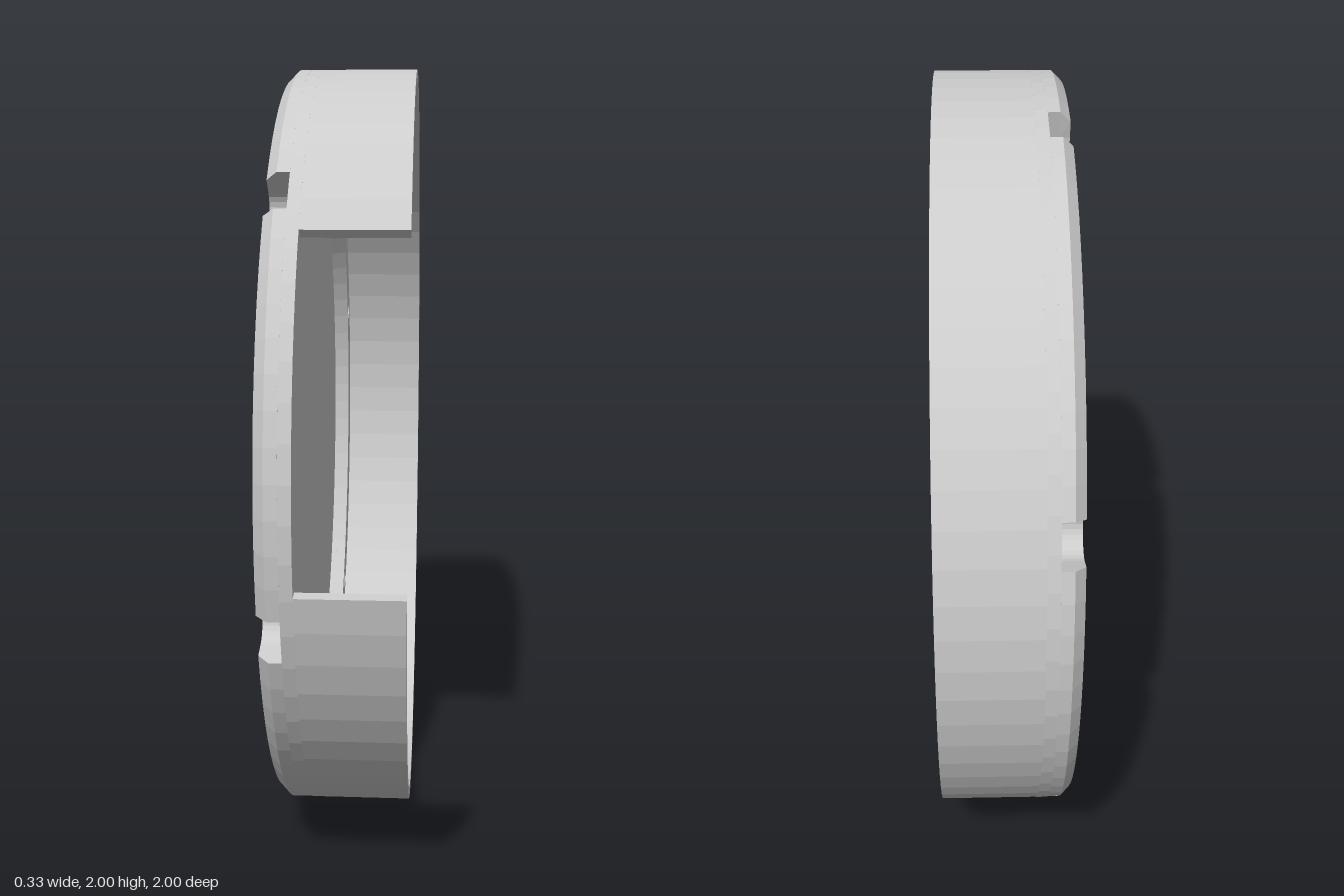
import * as THREE from 'three';

const DEG = Math.PI / 180;
const SCREWS = [16, 76, 136, 196, 256, 316]; // screw angles, degrees
const SCREW_R = 0.93, SLOT = 0.055;          // screw circle, slot half width
const X = { back: -0.165, bevel: -0.14, floor: -0.125, slot: -0.11, ledge: -0.08, rim: 0.165 };

// Points along an arc, angles in degrees
function arc(cx, cy, r, from, to, n) {
  return Array.from({ length: n + 1 }, (_, i) => {
    const a = (from + (to - from) * i / n) * DEG;
    return new THREE.Vector2(cx + r * Math.cos(a), cy + r * Math.sin(a));
  });
}
const circle = (cx, cy, r, n) => arc(cx, cy, r, 0, 360, n).slice(0, -1);

// Disc outline with a U-shaped slot opening outwards at each screw
function slottedOutline() {
  const half = Math.asin(SLOT) / DEG;
  return SCREWS.flatMap(a => [
    ...arc(SCREW_R * Math.cos(a * DEG), SCREW_R * Math.sin(a * DEG), SLOT, a - 90, a - 270, 14),
    ...arc(0, 0, 1, a + half, a + 60 - half, 12),
  ]);
}

export function createModel() {
  const model = new THREE.Group();
  const cover = new THREE.Group();
  cover.name = 'roundCover';
  cover.rotation.y = Math.PI / 2; // extrusion axis runs along x
  cover.position.y = 1;
  model.add(cover);
  const material = new THREE.MeshStandardMaterial({ color: 0xcccccc });

  // Extrudes one layer from x0 to x1; radius(r, x) may reshape it
  function layer(name, outline, holes, x0, x1, radius) {
    const shape = new THREE.Shape(outline);
    shape.holes = holes.map(h => new THREE.Path(h));
    const geo = new THREE.ExtrudeGeometry(shape, { depth: x1 - x0, bevelEnabled: false });
    geo.translate(0, 0, x0);
    if (radius) {
      const p = geo.attributes.position;
      for (let i = 0; i < p.count; i++) {
        const r = Math.hypot(p.getX(i), p.getY(i));
        const k = radius(r, p.getZ(i)) / r;
        p.setXY(i, p.getX(i) * k, p.getY(i) * k);
      }
      geo.computeVertexNormals();
    }
    const mesh = new THREE.Mesh(geo, material);
    mesh.name = name;
    cover.add(mesh);
  }

  // Back plate: bevelled edge, then straight edge
  const slotted = slottedOutline();
  layer('bevelledBackPlate', slotted, [], X.back, X.bevel,
    (r, x) => (x < X.back + 0.001 && r > 0.98 ? 0.975 : r));
  layer('backPlate', slotted, [], X.bevel, X.floor);

  // Ledge around the shallow recess, with a slightly flared inner wall
  const recess = circle(0, 0, 0.87, 90);
  const flare = (r, x) => (r < 0.8705 ? 0.87 + 0.01 * (x - X.floor) / (X.ledge - X.floor) : r);
  layer('slottedLedge', slotted, [recess], X.floor, X.slot, flare);
  const screwHoles = SCREWS.map(a =>
    circle(SCREW_R * Math.cos(a * DEG), SCREW_R * Math.sin(a * DEG), 0.028, 20));
  layer('screwLedge', circle(0, 0, 1, 72), [recess, ...screwHoles], X.slot, X.ledge, flare);

  // Thin side wall, open over the front cutout
  const from = 189.5, to = 502.4;
  layer('sideWall', [...arc(0, 0, 1, from, to, 63), ...arc(0, 0, 0.97, to, from, 63)], [], X.ledge, X.rim);

  return model;
}
